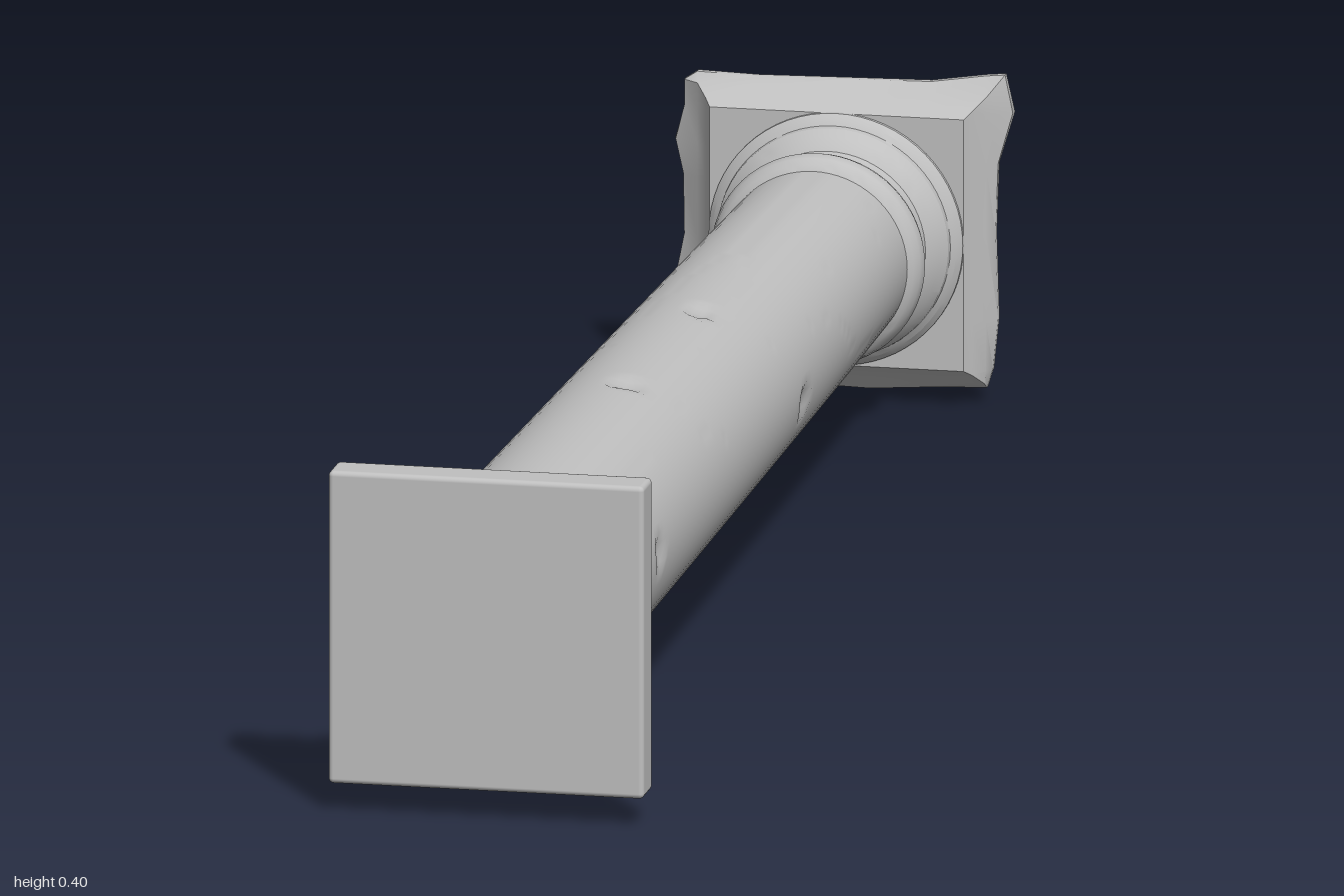
import * as THREE from 'three';
import { toCreasedNormals } from 'three/addons/utils/BufferGeometryUtils.js';
import { RoundedBoxGeometry } from 'three/addons/geometries/RoundedBoxGeometry.js';

const stone = new THREE.MeshStandardMaterial({ color: 0xc0c0c0 });
stone.name = 'grey stone';

// The axis of the lying column sinks slightly towards its narrow end
const axisY = (z) => 0.206 + 0.0125 * z;

function add(group, name, geometry) {
  const mesh = new THREE.Mesh(geometry, stone);
  mesh.name = name;
  group.add(mesh);
}

// Round part from [radius, z] pairs running from back to front
function turned(profile, crease = 0.6) {
  const points = profile.map(([r, z]) => new THREE.Vector2(r, z));
  const g = new THREE.LatheGeometry(points, 64).rotateX(Math.PI / 2);
  const p = g.attributes.position;
  for (let i = 0; i < p.count; i++) p.setY(i, p.getY(i) + axisY(p.getZ(i)));
  return toCreasedNormals(g, crease);
}

// Tapered shaft with a few shallow gouges: [angle, z, half angle, half length, depth]
function shaftGeometry() {
  const gouges = [
    [1.4, -0.11, 0.16, 0.035, 0.007], [1.45, 0.27, 0.2, 0.03, 0.007],
    [0.1, 0.62, 0.16, 0.025, 0.006], [-0.1, -0.22, 0.16, 0.03, 0.006],
    [3.4, 0.6, 0.2, 0.03, 0.006], [4.2, 0.0, 0.2, 0.03, 0.006],
  ];
  const profile = [];
  for (let i = 0; i <= 110; i++) {
    const t = i / 110;
    profile.push(new THREE.Vector2(0.108 + 0.021 * Math.pow(t, 0.85), -0.84 + 1.74 * t));
  }
  const g = new THREE.LatheGeometry(profile, 72).rotateX(Math.PI / 2);
  const p = g.attributes.position;
  for (let i = 0; i < p.count; i++) {
    const z = p.getZ(i);
    const a = Math.atan2(p.getY(i), p.getX(i));
    let r = Math.hypot(p.getX(i), p.getY(i));
    for (const [ga, gz, wa, wz, depth] of gouges) {
      const da = Math.atan2(Math.sin(a - ga), Math.cos(a - ga)) / wa;
      const d = da * da + ((z - gz) / wz) ** 2;
      if (d < 1) r -= depth * (1 - d);
    }
    p.setXY(i, Math.cos(a) * r, Math.sin(a) * r + axisY(z));
  }
  return toCreasedNormals(g, 0.7);
}

// Worn square slab, flaring from a clean square to a chipped outline
function slabGeometry() {
  const outline = [
    [-0.185, 0.36], [-0.185, 0.33], [-0.197, 0.29], [-0.186, 0.25], [-0.185, 0.18],
    [-0.195, 0.13], [-0.19, 0.09], [-0.193, 0.04], [-0.17, 0.02], [-0.09, 0.002],
    [-0.05, 0.012], [0.03, 0.01], [0.1, 0.015], [0.165, 0.018], [0.172, 0.04],
    [0.178, 0.1], [0.175, 0.2], [0.178, 0.28], [0.196, 0.34], [0.186, 0.384],
    [0.165, 0.382], [0.1, 0.372], [0, 0.37], [-0.1, 0.368], [-0.17, 0.37],
  ];
  const cy = 0.193, n = outline.length;
  // [z, largest half width] of each loop
  const sections = [[-1, 0.21], [-0.992, 0.195], [-0.978, 0.167], [-0.962, 0.154], [-0.95, 0.147]];
  const pos = [], index = [];
  for (const [z, h] of sections) {
    for (const [x, y] of outline) {
      pos.push(THREE.MathUtils.clamp(x, -h, h), cy + THREE.MathUtils.clamp(y - cy, -h, h), z);
    }
  }
  const last = (sections.length - 1) * n, back = sections.length * n;
  pos.push(0, cy, -1, 0, cy, -0.95);
  for (let i = 0; i < n; i++) {
    const j = (i + 1) % n;
    for (let s = 0; s < last; s += n) {
      index.push(s + i, s + j, s + n + j, s + i, s + n + j, s + n + i);
    }
    index.push(back, j, i, back + 1, last + i, last + j);
  }
  const g = new THREE.BufferGeometry();
  g.setAttribute('position', new THREE.Float32BufferAttribute(pos, 3));
  g.setIndex(index);
  return toCreasedNormals(g, 0.6);
}

export function createModel() {
  const column = new THREE.Group();
  column.name = 'column';

  // Base at the front
  const plinth = new RoundedBoxGeometry(0.365, 0.365, 0.05, 3, 0.006);
  add(column, 'plinth', plinth.translate(0.002, 0.2175, 0.975));
  add(column, 'baseTorus', turned([
    [0.14, 0.902], [0.158, 0.903], [0.167, 0.91], [0.172, 0.923], [0.172, 0.934], [0.167, 0.946], [0.16, 0.953],
  ]));
  add(column, 'baseFillet', turned([
    [0.128, 0.862], [0.131, 0.875], [0.138, 0.882], [0.145, 0.889], [0.147, 0.897], [0.144, 0.905],
  ]));

  add(column, 'shaft', shaftGeometry());

  // Capital at the back
  add(column, 'neckRing', turned([
    [0.108, -0.872], [0.115, -0.868], [0.121, -0.858], [0.124, -0.846], [0.121, -0.834], [0.115, -0.826], [0.108, -0.822],
  ]));
  add(column, 'neck', turned([[0.116, -0.915], [0.111, -0.9], [0.109, -0.88], [0.109, -0.83]]));
  add(column, 'echinus', turned([
    [0.147, -0.955], [0.147, -0.945], [0.141, -0.938], [0.135, -0.934], [0.134, -0.926],
    [0.126, -0.917], [0.118, -0.908], [0.109, -0.902],
  ]));
  add(column, 'capitalSlab', slabGeometry());
  return column;
}
